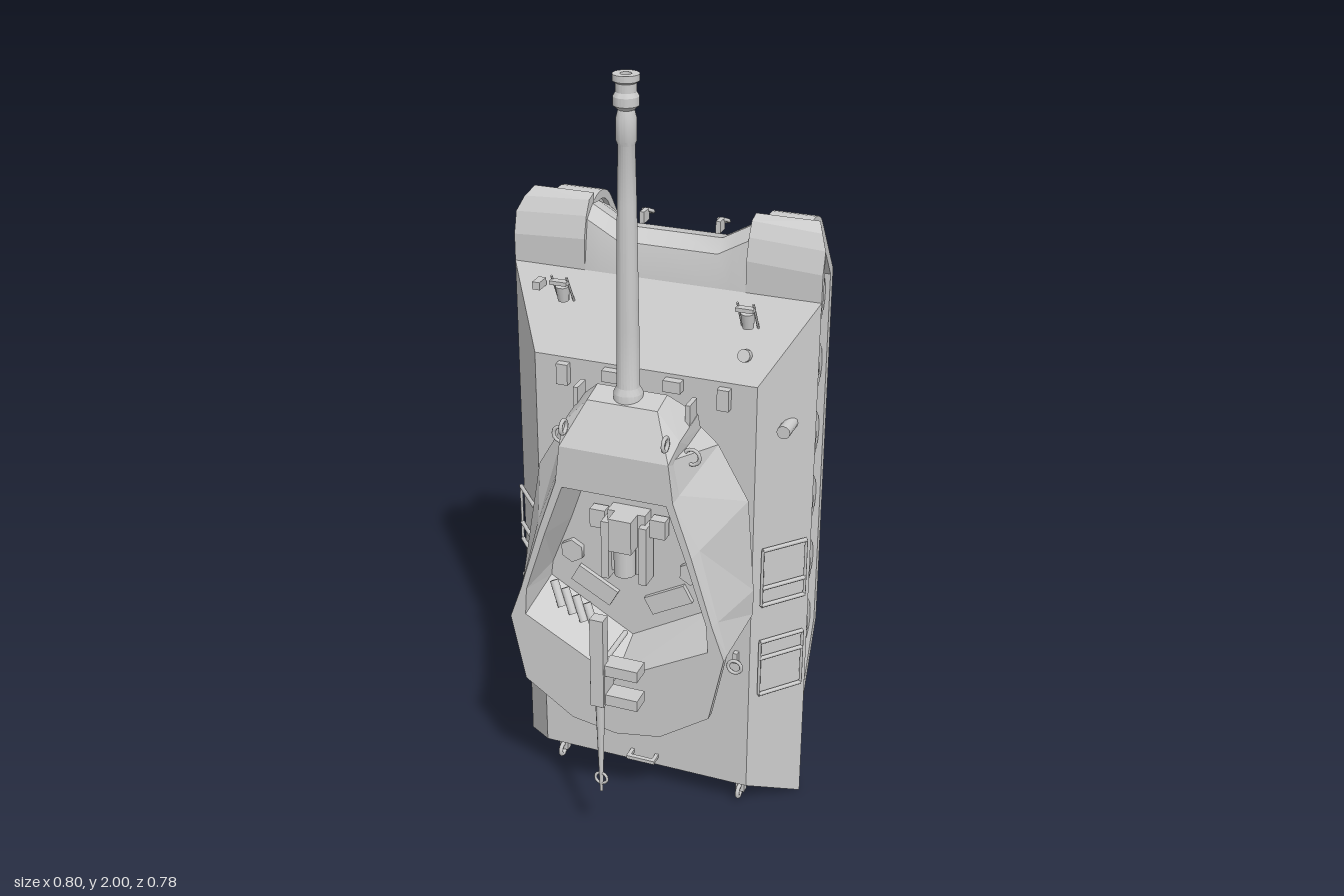
import * as THREE from 'three';
import { toCreasedNormals } from 'three/addons/utils/BufferGeometryUtils.js';
import { ConvexGeometry } from 'three/addons/geometries/ConvexGeometry.js';

const mat = new THREE.MeshStandardMaterial({ color: 0xcccccc, side: THREE.DoubleSide });
const V = (x, y, z) => new THREE.Vector3(x, y, z);
const lerp = THREE.MathUtils.lerp;

// closed loops joined into a skin, with optional end caps
function loft(loops, capStart = true, capEnd = true) {
  const p = [];
  const tri = (a, b, c) => p.push(...a, ...b, ...c);
  const n = loops[0].length;
  for (let s = 0; s < loops.length - 1; s++) {
    for (let i = 0; i < n; i++) {
      const j = (i + 1) % n, a = loops[s], b = loops[s + 1];
      tri(a[i], a[j], b[j]);
      tri(a[i], b[j], b[i]);
    }
  }
  const last = loops[loops.length - 1];
  for (let i = 1; i < n - 1; i++) {
    if (capStart) tri(loops[0][0], loops[0][i + 1], loops[0][i]);
    if (capEnd) tri(last[0], last[i], last[i + 1]);
  }
  const g = new THREE.BufferGeometry();
  g.setAttribute('position', new THREE.Float32BufferAttribute(p, 3));
  g.computeVertexNormals();
  return g;
}
// half outline [x, y] from rear to front, mirrored into a full loop
const full = h => [...h, ...h.filter(q => q[0] > 0).reverse().map(q => [-q[0], q[1]])];
const atZ = (h, z) => full(h).map(q => [q[0], q[1], z]);
const shapeOf = pts => new THREE.Shape(pts.map(q => new THREE.Vector2(q[0], q[1])));

export function createModel() {
  const model = new THREE.Group();
  const add = (name, geo, x = 0, y = 0, z = 0, rx = 0, ry = 0, rz = 0) => {
    const m = new THREE.Mesh(geo, mat);
    m.name = name;
    m.position.set(x, y, z);
    m.rotation.set(rx, ry, rz);
    model.add(m);
    return m;
  };
  const box = (name, w, h, d, x, y, z, ...r) => add(name, new THREE.BoxGeometry(w, h, d), x, y, z, ...r);
  // cylinder between two points
  const rod = (name, a, b, r0, r1 = r0, sides = 12) => {
    const m = add(name, new THREE.CylinderGeometry(r1, r0, a.distanceTo(b), sides));
    m.position.copy(a).lerp(b, 0.5);
    m.quaternion.setFromUnitVectors(V(0, 1, 0), b.clone().sub(a).normalize());
    return m;
  };
  const ring = (name, r, t, x, y, z, ...rot) => add(name, new THREE.TorusGeometry(r, t, 6, 14), x, y, z, ...rot);

  // upper hull with sloped sides, glacis and rear
  add('upperHull', loft([
    atZ([[0.36, 0.04], [0.365, 1.43]], -0.13),
    atZ([[0.4, 0], [0.4, 1.43]], -0.065),
    atZ([[0.29, 0.08], [0.29, 1.25]], 0.07),
  ]));

  // lower hull: side profile [y, z] swept across x, nose corners pushed out
  const profile = [[0.1, -0.1], [0.22, -0.265], [1.36, -0.265], [1.44, -0.25], [1.5, -0.21],
    [1.535, -0.16], [1.54, -0.12], [1.51, -0.085], [1.43, -0.065]].reverse();
  const slices = [-0.21, -0.17, -0.13, 0, 0.13, 0.17, 0.21].map(x => {
    const k = Math.max(0, (Math.abs(x) - 0.13) / 0.08);
    return profile.map(([y, z]) => [x, y > 1.43 ? y + 0.045 * k : y, z < -0.2 && y > 1.3 ? z - 0.02 * k : z]);
  });
  add('lowerHull', toCreasedNormals(loft(slices.reverse()), 0.6));

  // running gear
  const outline = t => {
    const pts = [];
    const arc = (cx, cy, r, a0, a1) => {
      for (let i = 0; i <= 12; i++) {
        const a = THREE.MathUtils.degToRad(lerp(a0, a1, i / 12));
        pts.push([cx + r * Math.cos(a), cy + r * Math.sin(a)]);
      }
    };
    arc(0.205, 1.505, 0.085 - t, 180, 35);
    pts.push([0.39 - t, 1.395 - 0.4 * t], [0.39 - t, 0.35 + 0.4 * t]);
    arc(0.21, 0.17, 0.09 - t, -26, -180);
    return pts;
  };
  const trackShape = shapeOf(outline(0));
  trackShape.holes.push(shapeOf(outline(0.022)));
  const trackGeo = toCreasedNormals(
    new THREE.ExtrudeGeometry(trackShape, { depth: 0.112, bevelEnabled: false }), 0.5);
  const wheel = (name, s, y, z, r) => {
    for (const x of [0.255, 0.307]) rod(name, V(s * (x - 0.018), y, z), V(s * (x + 0.018), y, z), r, r, 28);
    rod(name + 'Hub', V(s * 0.2, y, z), V(s * 0.332, y, z), r * 0.45, r * 0.45, 18);
  };

  for (const s of [1, -1]) {
    add('track', trackGeo, s > 0 ? 0.224 : -0.336, 0, 0, 0, Math.PI / 2, 0);
    wheel('idlerWheel', s, 1.505, -0.205, 0.062);
    wheel('driveSprocket', s, 0.17, -0.21, 0.067);
    for (const y of [1.24, 0.855, 0.47]) {
      box('suspensionBlock', 0.115, 0.11, 0.1, s * 0.265, y + 0.01, -0.21);
      for (const d of [0.095, -0.095]) {
        wheel('roadWheel', s, y + d, -0.282, 0.085);
        rod('swingArm', V(s * 0.328, y + d * 0.2, -0.23), V(s * 0.328, y + d, -0.285), 0.02, 0.014, 8);
      }
    }

    // front fender
    const f = [];
    for (const [x, y, z] of [[0.4, 1.5, -0.065], [0.4, 1.555, -0.08], [0.385, 1.59, -0.1], [0.37, 1.61, -0.13]])
      f.push(V(s * x, 1.43, z), V(s * x, y, z), V(s * 0.21, 1.43, z), V(s * 0.21, y + (z > -0.12 ? 0.01 : 0), z));
    add('fender', new ConvexGeometry(f));

    // side ladder racks standing off the sloped hull
    for (const y of [0.8, 0.69, 0.64, 0.53, 0.48, 0.37])
      rod('rackBar', V(s * 0.312, y, 0.055), V(s * 0.396, y, -0.04), 0.006, 0.006, 6);
    for (const [y0, y1] of [[0.64, 0.8], [0.37, 0.53]]) {
      rod('rackRail', V(s * 0.312, y0, 0.055), V(s * 0.312, y1, 0.055), 0.004, 0.004, 6);
      rod('rackRail', V(s * 0.396, y0, -0.04), V(s * 0.396, y1, -0.04), 0.004, 0.004, 6);
    }

    // headlights with guards, hooks and lifting rings
    rod('headlight', V(s * 0.24, 1.37, 0), V(s * 0.24, 1.41, 0.005), 0.014, 0.018);
    for (const d of [-0.02, 0.02])
      rod('lightGuard', V(s * 0.24 + d, 1.36, -0.02), V(s * 0.24 + d, 1.44, 0.025), 0.003, 0.003, 6);
    box('lightBracket', 0.045, 0.01, 0.02, s * 0.24, 1.425, 0.025);
    ring('noseTowEye', 0.013, 0.005, s * 0.1, 1.55, -0.215, Math.PI / 2 - 0.5);
    box('noseTowHook', 0.012, 0.03, 0.035, s * 0.1, 1.545, -0.19);
    ring('rearTowEye', 0.016, 0.006, s * 0.26, 0.03, 0.035, 0, Math.PI / 2);
    box('rearTowBracket', 0.025, 0.04, 0.02, s * 0.26, 0.045, 0.02);
    ring('deckRing', 0.018, 0.005, s * 0.255, 0.46, 0.085);
    box('deckLug', 0.012, 0.03, 0.02, s * 0.255, 0.485, 0.075);
    ring('roofRing', 0.017, 0.005, s * 0.13, 1.16, 0.262, 0, Math.PI / 2);
    ring('cheekHandle', 0.02, 0.005, s * 0.17, 1.1, 0.19);
    box('periscope', 0.03, 0.055, 0.03, s * 0.21, 1.21, 0.075);
    box('visionBlock', 0.045, 0.03, 0.025, s * 0.08, 1.225, 0.08);
  }
  rod('sideLamp', V(0.35, 1.13, -0.02), V(0.35, 1.13, 0.045), 0.017);
  rod('deckCap', V(0.245, 1.305, 0.02), V(0.245, 1.315, 0.045), 0.016);
  box('frontSensor', 0.02, 0.02, 0.04, -0.31, 1.4, -0.01);
  box('rearHandle', 0.08, 0.01, 0.012, 0, 0.11, 0.1);
  for (const x of [-0.035, 0.035]) box('rearHandleFoot', 0.01, 0.01, 0.035, x, 0.11, 0.08);
  rod('towBar', V(0, 0.24, -0.24), V(0, 0.08, -0.24), 0.013);
  rod('towCoupling', V(0, 0.045, -0.24), V(0, 0.08, -0.24), 0.028, 0.02);
  for (const x of [-0.1, 0.1]) box('hullRearStep', 0.05, 0.07, 0.05, x, 0.16, -0.2);

  // turret shell: ring outline, rear lip, roof
  add('turretRing', new THREE.CylinderGeometry(0.22, 0.22, 0.04, 40), 0, 0.8, 0.08, Math.PI / 2);
  const base = [[0, 0.52], [0.1, 0.54], [0.22, 0.57], [0.3, 0.63], [0.3, 0.7], [0.28, 0.95], [0.2, 1.09], [0.155, 1.13]];
  const roof = [[0, 0.31], [0.12, 0.33], [0.25, 0.42], [0.287, 0.6], [0.255, 0.69], [0.2, 0.87], [0.152, 1.01], [0.14, 1.11]];
  const lip = roof.map(([x, y], i) => i < 4 ? [x, y] : [lerp(base[i][0], x, 0.85), lerp(base[i][1], y, 0.85)]);
  add('turretShell', loft([atZ(base, 0.085), atZ(lip, 0.245), atZ(roof, 0.27)], true, false));

  // open well in the roof
  const rim = [[0, 0.48], [0.245, 0.615], [0.24, 0.69], [0.185, 0.86], [0.135, 1.0]];
  const floor = [[0, 0.54], [0.225, 0.67], [0.22, 0.71], [0.165, 0.85], [0.12, 0.98]];
  const roofShape = shapeOf(full(roof));
  roofShape.holes.push(shapeOf(full(rim)));
  add('turretRoof', new THREE.ShapeGeometry(roofShape), 0, 0, 0.27);
  add('wellWall', loft([atZ(rim, 0.27), atZ(floor, 0.15)], false, false));
  add('wellFloor', new THREE.ShapeGeometry(shapeOf(full(floor))), 0, 0, 0.15);

  // hatch, sight and stowage in the well
  box('hatchFrame', 0.1, 0.17, 0.04, 0, 0.83, 0.17);
  for (const s of [1, -1]) {
    box('hatchSide', 0.02, 0.16, 0.05, s * 0.05, 0.81, 0.185);
    box('hatchWing', 0.04, 0.05, 0.03, s * 0.08, 0.88, 0.17);
    rod('floorCap', V(s * 0.16, 0.76, 0.15), V(s * 0.16, 0.76, 0.165), 0.032, 0.032, 6);
    box('floorPlate', 0.12, 0.05, 0.015, s * 0.1, 0.67, 0.155, 0, 0, s * 0.5);
  }
  box('sightBody', 0.06, 0.09, 0.05, 0, 0.87, 0.21);
  rod('sightLens', V(0, 0.75, 0.2), V(0, 0.83, 0.2), 0.028);
  for (let i = 0; i < 4; i++)
    rod('wellRound', V(-0.2 + i * 0.03, 0.68 - i * 0.016, 0.19), V(-0.17 + i * 0.03, 0.62 - i * 0.016, 0.21), 0.011);

  // wedge front and mantlet
  const wedge = [];
  for (const s of [1, -1])
    for (const [x, y, z] of [[0.155, 1.13, 0.09], [0.152, 1.17, 0.1], [0.14, 1.11, 0.27], [0.15, 1.15, 0.22],
      [0.09, 1.23, 0.145], [0.09, 1.215, 0.21], [0.155, 1.08, 0.1], [0.14, 1.08, 0.269]]) wedge.push(V(s * x, y, z));
  add('turretFront', new ConvexGeometry(wedge));
  for (const s of [1, -1]) box('mantletCheek', 0.012, 0.07, 0.05, s * 0.145, 1.18, 0.13);

  // main gun turned as one profile
  const gun = [[0, 1.19], [0.036, 1.19], [0.036, 1.235], [0.028, 1.25], [0.027, 1.4], [0.023, 1.7], [0.02, 1.84],
    [0.024, 1.85], [0.024, 1.9], [0.019, 1.92], [0.03, 1.93], [0.03, 1.95], [0.024, 1.96], [0.024, 1.98],
    [0.031, 1.985], [0.031, 2], [0.013, 2], [0.013, 1.96], [0, 1.96]];
  add('mainGun', toCreasedNormals(
    new THREE.LatheGeometry(gun.map(q => new THREE.Vector2(...q)), 24), 0.5), 0, 0, 0.17);

  // roof machine gun pointing rearward on its stand
  box('gunReceiver', 0.035, 0.25, 0.032, 0, 0.595, 0.372);
  rod('gunBarrel', V(0, 0.47, 0.37), V(0, 0.2, 0.37), 0.012, 0.004, 10);
  box('gunGrip', 0.025, 0.03, 0.03, 0, 0.7, 0.37);
  box('gunCradle', 0.038, 0.1, 0.06, 0, 0.53, 0.355);
  for (const y of [0.575, 0.49]) {
    box('ammunitionBox', 0.09, 0.03, 0.05, 0.058, y, 0.355);
    rod('gunStand', V(0, y, 0.35), V(0, y, 0.2), 0.007);
  }
  ring('gunSight', 0.016, 0.004, 0, 0.24, 0.37);
  return model;
}
